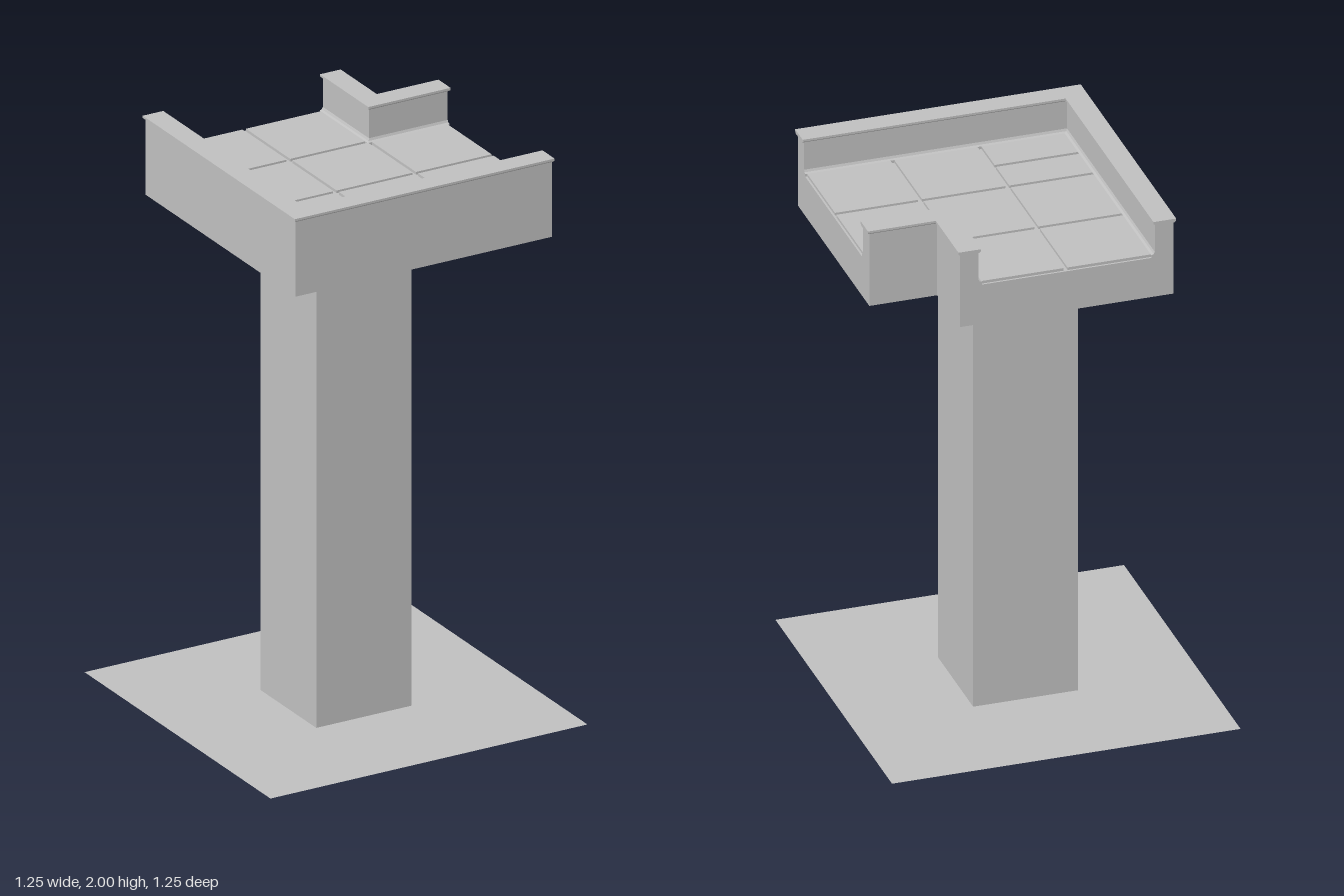
import * as THREE from 'three';

const CELL = 0.311;          // floor grid pitch
const EDGE = 2 * CELL;       // open sides of the platform
const OUTER = 0.383;         // outer face of the long walls
const NOTCH = 0.38;          // faces of the notched corner
const BASE_Y = 1.71, SLAB_Y = 1.86, FLOOR_Y = 1.87;

const stone = new THREE.MeshStandardMaterial({ color: 0xbfbfbf });
stone.name = 'grey stone';
const ground = new THREE.MeshStandardMaterial({ color: 0xbfbfbf, side: THREE.DoubleSide });
ground.name = 'grey ground';

function addMesh(parent, name, geometry, material = stone) {
  const mesh = new THREE.Mesh(geometry, material);
  mesh.name = name;
  parent.add(mesh);
  return mesh;
}

// Box given by its minimum and maximum corners
function block(x0, y0, z0, x1, y1, z1) {
  return new THREE.BoxGeometry(x1 - x0, y1 - y0, z1 - z0)
    .translate((x0 + x1) / 2, (y0 + y1) / 2, (z0 + z1) / 2);
}

// Sweeps a profile of [inset, height] round a mitred corner at (k, -k);
// side = 1 or -1 is the direction in which the inset runs
function cornerSweep(profile, k, side, end) {
  const at = (u) => k + side * u;
  const sections = [
    profile.map(([u, y]) => [at(u), y, -end]),
    profile.map(([u, y]) => [at(u), y, -at(u)]),
    profile.map(([u, y]) => [end, y, -at(u)]),
  ];
  const points = [];
  const tri = (a, b, c) => points.push(...(side > 0 ? [...a, ...b, ...c] : [...a, ...c, ...b]));
  for (let s = 0; s < 2; s++) {
    const p = sections[s], q = sections[s + 1];
    for (let i = 0; i < profile.length; i++) {
      const n = (i + 1) % profile.length;
      tri(p[i], p[n], q[n]);
      tri(p[i], q[n], q[i]);
    }
  }
  // End faces
  const flat = profile.map(([u, y]) => new THREE.Vector2(u, y));
  for (const [a, b, c] of THREE.ShapeUtils.triangulateShape(flat, [])) {
    tri(sections[0][a], sections[0][c], sections[0][b]);
    tri(sections[2][a], sections[2][b], sections[2][c]);
  }
  const geometry = new THREE.BufferGeometry();
  geometry.setAttribute('position', new THREE.Float32BufferAttribute(points, 3));
  geometry.computeVertexNormals();
  return geometry;
}

export function createModel() {
  const model = new THREE.Group();
  model.name = 'tower';

  // Ground sheet and square pillar
  addMesh(model, 'groundSheet', new THREE.PlaneGeometry(2 * EDGE, 2 * EDGE).rotateX(-Math.PI / 2), ground);
  addMesh(model, 'pillar', block(-0.187, 0.002, -0.187, 0.187, BASE_Y, 0.187));

  // Platform slab with one corner cut out
  const outline = new THREE.Shape([
    [-OUTER, -OUTER], [EDGE, -OUTER], [EDGE, NOTCH],
    [NOTCH, NOTCH], [NOTCH, EDGE], [-OUTER, EDGE],
  ].map(([x, y]) => new THREE.Vector2(x, y)));
  addMesh(model, 'platformSlab',
    new THREE.ExtrudeGeometry(outline, { depth: SLAB_Y - BASE_Y, bevelEnabled: false })
      .rotateX(-Math.PI / 2).translate(0, BASE_Y, 0));

  // Floor tiles with narrow grooves, one of them split in two
  const floor = new THREE.Group();
  floor.name = 'floorTiles';
  model.add(floor);
  const gap = 0.007;
  const addTile = (x, z, depth) => addMesh(floor, 'floorTile',
    block(x + gap, SLAB_Y, z + gap, x + CELL - gap, FLOOR_Y, z + depth - gap));
  for (let i = 0; i < 3; i++) {
    for (let j = 0; j < 3; j++) {
      const x = (i - 1) * CELL, z = (j - 2) * CELL;
      if (i === 2 && j === 0) continue;
      if (i === 0 && j === 2) {
        addTile(x, z, CELL / 2);
        addTile(x, z + CELL / 2, CELL / 2);
      } else addTile(x, z, CELL);
    }
  }

  // Parapets with a sloped foot and an overhanging coping
  const wallProfile = [[0, SLAB_Y], [0.079, SLAB_Y], [0.079, FLOOR_Y], [0.071, 1.873],
    [0.067, 1.881], [0.067, 1.986], [0, 1.986]];
  const copingProfile = [[0, 1.986], [0.067, 1.986], [0.074, 1.992], [0.074, 2],
    [-0.007, 2], [-0.007, 1.992]];
  for (const [name, k, side] of [['outer', -OUTER, 1], ['notch', NOTCH, -1]]) {
    addMesh(model, name + 'Parapet', cornerSweep(wallProfile, k, side, EDGE));
    addMesh(model, name + 'Coping', cornerSweep(copingProfile, k, side, EDGE + 0.007));
  }

  // Centre the overall footprint
  for (const part of model.children) part.position.add(new THREE.Vector3(-0.004, 0, 0.004));
  return model;
}
